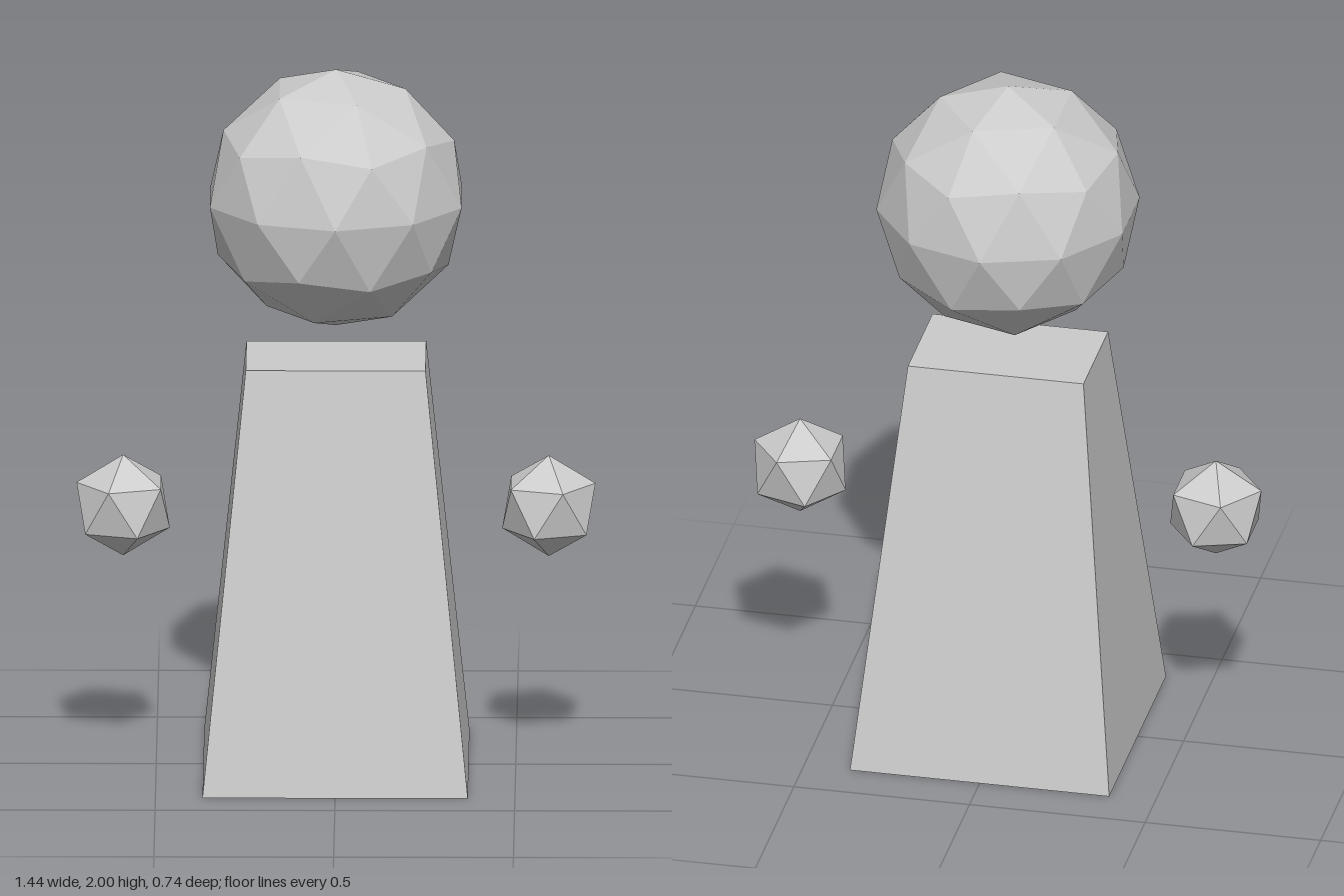
import * as THREE from 'three';

const material = new THREE.MeshStandardMaterial({ color: 0xcccccc, flatShading: true });

// Faceted ball standing on one of its corners; side (+1 / -1) is where an upper ring corner points
function ball(name, radius, detail, x, y, side) {
  const geometry = new THREE.IcosahedronGeometry(radius, detail);
  geometry.rotateZ(-side * Math.atan(2 / (1 + Math.sqrt(5))));
  const mesh = new THREE.Mesh(geometry, material);
  mesh.name = name;
  mesh.position.set(x, y, 0);
  return mesh;
}

// Square base tapering to a smaller rectangular top
function taperedBody() {
  const height = 1.175, base = 0.738, topWidth = 0.5, topDepth = 0.32;
  const geometry = new THREE.BoxGeometry(base, height, base);
  geometry.translate(0, height / 2, 0);
  const p = geometry.attributes.position;
  for (let i = 0; i < p.count; i++) {
    if (p.getY(i) > height / 2) {
      p.setX(i, Math.sign(p.getX(i)) * topWidth / 2);
      p.setZ(i, Math.sign(p.getZ(i)) * topDepth / 2);
    }
  }
  geometry.computeVertexNormals();
  const mesh = new THREE.Mesh(geometry, material);
  mesh.name = 'body';
  return mesh;
}

export function createModel() {
  const model = new THREE.Group();
  model.name = 'figure';
  model.add(taperedBody());
  model.add(ball('head', 0.368, 1, 0, 1.632, 1));

  // Floating hands, mirrored
  for (const side of [1, -1]) {
    model.add(ball(side > 0 ? 'leftHand' : 'rightHand', 0.145, 0, side * 0.592, 0.745, side));
  }
  return model;
}
